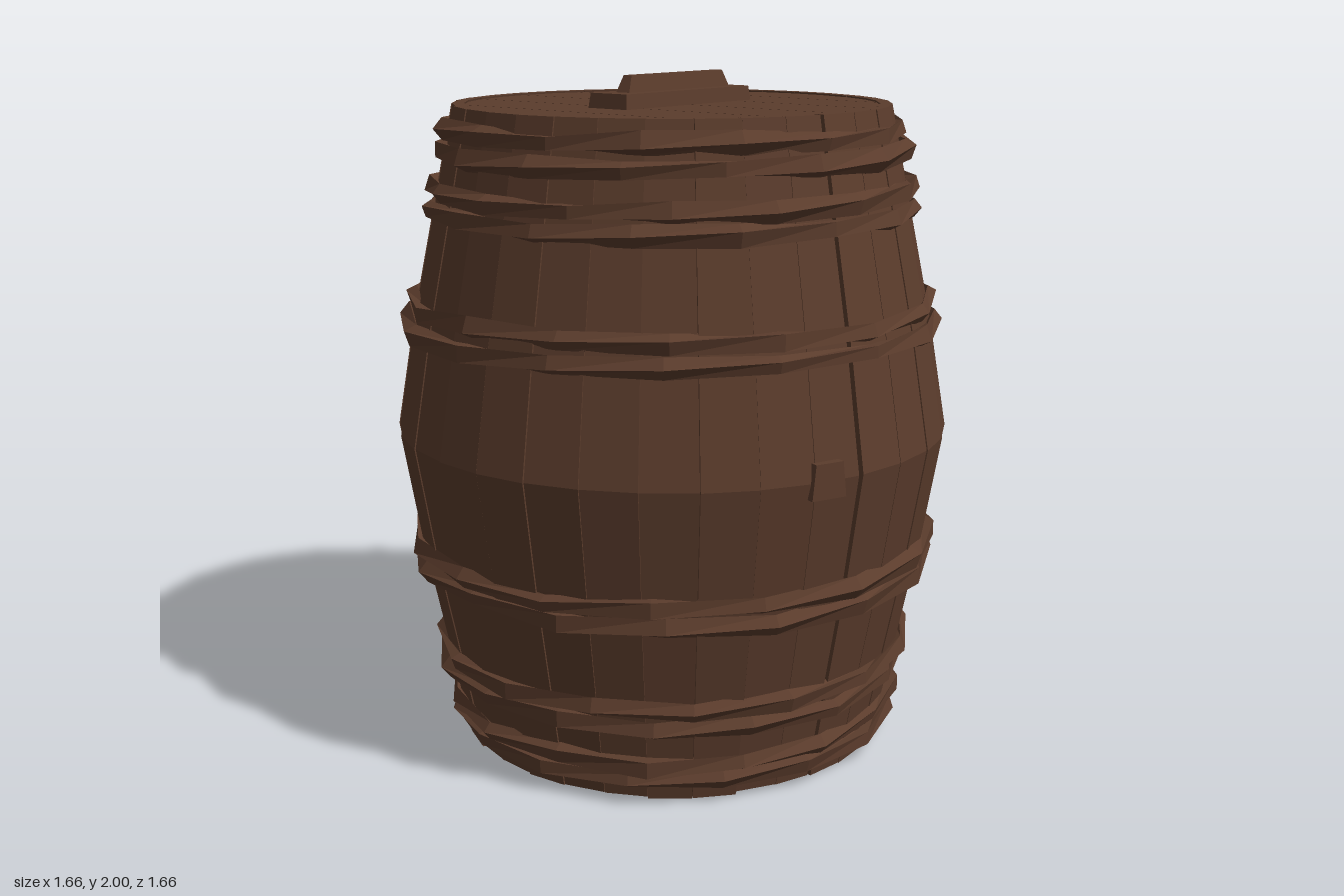
import * as THREE from 'three';

const wood = new THREE.MeshStandardMaterial({ color: 0x5b3c2c, flatShading: true });
wood.name = 'dark brown wood';

// barrel outline as [height, radius]
const PROFILE = [[0, 0.648], [0.32, 0.712], [0.64, 0.778], [0.96, 0.832], [1.28, 0.778], [1.6, 0.712], [1.915, 0.648]];
const STAVES = 32;

function radiusAt(y) {
  for (let i = 1; i < PROFILE.length; i++) {
    const [y0, r0] = PROFILE[i - 1], [y1, r1] = PROFILE[i];
    if (y <= y1) return r0 + (r1 - r0) * (y - y0) / (y1 - y0);
  }
  return 0.648;
}

function makeRandom(seed) {
  return () => {
    seed = (seed * 16807) % 2147483647;
    return seed / 2147483647;
  };
}

function addMesh(group, name, geometry) {
  const mesh = new THREE.Mesh(geometry, wood);
  mesh.name = name;
  group.add(mesh);
  return mesh;
}

// a bent board covering one slice of the barrel wall
function staveGeometry(a0, a1, offset, trim) {
  const rows = PROFILE.length - 1;
  const geo = new THREE.BoxGeometry(1, 1, 1, 1, rows, 1);
  const p = geo.attributes.position;
  for (let i = 0; i < p.count; i++) {
    const row = Math.round((p.getY(i) + 0.5) * rows);
    const [y, r] = PROFILE[row];
    const rad = r + offset - (p.getZ(i) > 0 ? 0 : 0.035);
    const a = p.getX(i) < 0 ? a0 : a1;
    p.setXYZ(i, Math.sin(a) * rad, row === 0 ? trim : y, Math.cos(a) * rad);
  }
  geo.computeVertexNormals();
  return geo;
}

// a rough twisted hoop with a four-sided section
function hoopGeometry(y, random) {
  const sides = 4, segments = 16;
  const geo = new THREE.TorusGeometry(1, 0.1, sides, segments);
  const jitter = Array.from({ length: segments }, () => [random() - 0.5, random() - 0.5, random()]);
  const p = geo.attributes.position;
  const phase = random() * Math.PI * 2;
  for (let j = 0; j <= sides; j++) {
    for (let i = 0; i <= segments; i++) {
      const [jr, jy, js] = jitter[i % segments];
      const u = (i / segments) * Math.PI * 2 + phase;
      const v = (j / sides) * Math.PI * 2 + (i / segments) * Math.PI * 2;
      const size = 0.75 + 0.4 * js;
      const r = radiusAt(y) + 0.012 + jr * 0.018 + Math.cos(v) * 0.026 * size;
      const h = y + jy * 0.016 + Math.sin(v) * 0.032 * size;
      p.setXYZ(j * (segments + 1) + i, Math.cos(u) * r, h, -Math.sin(u) * r);
    }
  }
  geo.computeVertexNormals();
  return geo;
}

// one plank of a round head, cut from the disc between two z lines
function plankGeometry(z0, z1, radius, thickness) {
  const steps = 5, shape = [];
  const half = (z) => Math.sqrt(Math.max(0, radius * radius - z * z));
  for (let i = 0; i <= steps; i++) {
    const z = z0 + (z1 - z0) * i / steps;
    shape.push(new THREE.Vector2(half(z), -z));
  }
  for (let i = steps; i >= 0; i--) {
    const z = z0 + (z1 - z0) * i / steps;
    shape.push(new THREE.Vector2(-half(z), -z));
  }
  const geo = new THREE.ExtrudeGeometry(new THREE.Shape(shape), { depth: thickness, bevelEnabled: false });
  return geo.rotateX(-Math.PI / 2);
}

function addHead(parent, name, y) {
  const head = new THREE.Group();
  head.name = name;
  const edges = [-0.628, -0.43, -0.217, 0, 0.215, 0.43, 0.628];
  for (let i = 0; i < 6; i++) {
    addMesh(head, 'plank', plankGeometry(edges[i] + 0.002, edges[i + 1] - 0.002, 0.63, 0.04));
  }
  // backing board closes the seams
  addMesh(head, 'backing', new THREE.CylinderGeometry(0.61, 0.61, 0.02, 32)).position.y = 0.02;
  head.position.y = y;
  parent.add(head);
}

// box whose top is narrower than its base
function taperedBox(w, h, d, topX, topZ) {
  const geo = new THREE.BoxGeometry(w, h, d);
  const p = geo.attributes.position;
  for (let i = 0; i < p.count; i++) {
    if (p.getY(i) > 0) p.setXYZ(i, p.getX(i) * topX, p.getY(i), p.getZ(i) * topZ);
  }
  geo.computeVertexNormals();
  return geo;
}

export function createModel() {
  const barrel = new THREE.Group();
  barrel.name = 'barrel';
  const random = makeRandom(4711);

  // wall of staves, with one wider slit beside the plug
  const staves = new THREE.Group();
  staves.name = 'staves';
  const step = (Math.PI * 2) / STAVES;
  for (let i = 0; i < STAVES; i++) {
    const a0 = i * step + 0.001;
    const a1 = (i + 1) * step - (i === 6 ? 0.02 : 0.001);
    addMesh(staves, 'stave', staveGeometry(a0, a1, -random() * 0.006, random() * 0.012));
  }
  barrel.add(staves);

  // inner lining behind the gaps
  const lining = PROFILE.map(([y, r]) => new THREE.Vector2(r - 0.03, Math.min(Math.max(y, 0.03), 1.88)));
  addMesh(barrel, 'lining', new THREE.LatheGeometry(lining, STAVES));

  // paired hoops
  const hoops = new THREE.Group();
  hoops.name = 'hoops';
  for (const y of [0.07, 0.12, 0.24, 0.3, 0.565, 0.62, 1.28, 1.34, 1.62, 1.675, 1.79, 1.85]) {
    addMesh(hoops, 'hoop', hoopGeometry(y, random));
  }
  barrel.add(hoops);

  // lid and bottom
  addHead(barrel, 'lid', 1.87);
  addHead(barrel, 'bottom', 0.01);

  // lid handle
  const handle = new THREE.Group();
  handle.name = 'handle';
  addMesh(handle, 'handleBase', taperedBox(0.145, 0.045, 0.57, 0.93, 0.98)).position.y = 1.93;
  addMesh(handle, 'handleGrip', taperedBox(0.05, 0.05, 0.46, 0.6, 0.9)).position.set(0, 1.975, -0.01);
  barrel.add(handle);

  // small plug on the left side
  const plug = addMesh(barrel, 'plug', taperedBox(0.11, 0.1, 0.05, 0.8, 1));
  const angle = Math.PI / 2 - 0.35;
  plug.position.set(Math.sin(angle) * 0.815, 0.965, Math.cos(angle) * 0.815);
  plug.rotation.y = angle;

  return barrel;
}
